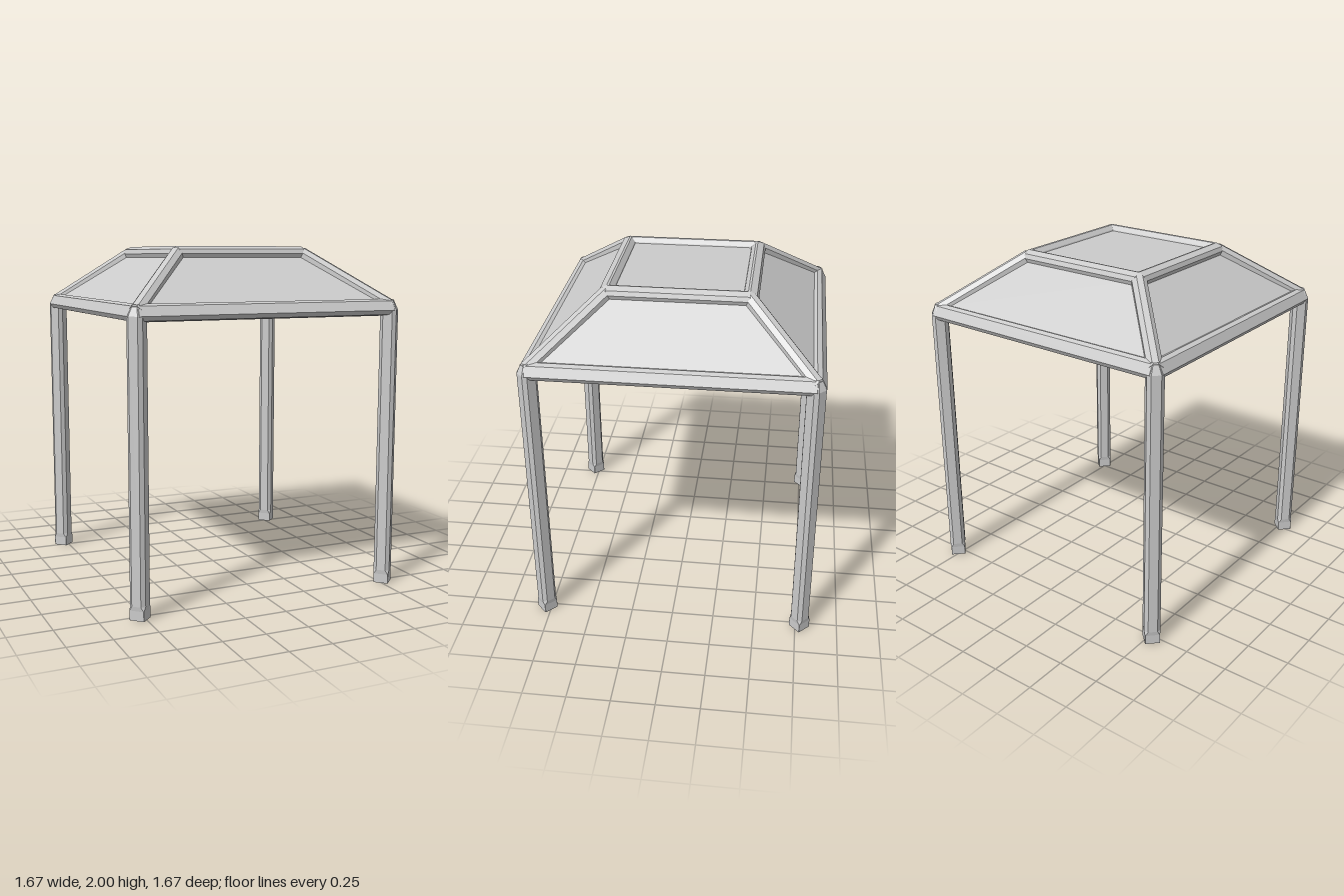
import * as THREE from 'three';

const grey = new THREE.MeshStandardMaterial({ color: 0xcccccc, flatShading: true });
const thin = new THREE.MeshStandardMaterial({ color: 0xcccccc, flatShading: true, side: THREE.DoubleSide });

// Eight corners of a square of half-width r whose straight sides have half-length s
function octagon(r, s) {
  return [[r, -s], [r, s], [s, r], [-s, r], [-r, s], [-r, -s], [-s, -r], [s, -r]];
}

// Skin between stacked octagons given as [r, y, s]; closed joins last to first
function loft(levels, closed = false) {
  const pos = [], idx = [];
  for (const [r, y, s] of levels) for (const [x, z] of octagon(r, s)) pos.push(x, y, z);
  const n = levels.length;
  for (let i = 0; i < (closed ? n : n - 1); i++) {
    for (let j = 0; j < 8; j++) {
      const k = (j + 1) % 8, up = ((i + 1) % n) * 8;
      const a = i * 8 + j, b = up + j, c = up + k, d = i * 8 + k;
      idx.push(a, b, c, a, c, d);
    }
  }
  const g = new THREE.BufferGeometry();
  g.setAttribute('position', new THREE.Float32BufferAttribute(pos, 3));
  g.setIndex(idx);
  g.computeVertexNormals();
  return g;
}

// Square frame swept from an [r, y] profile, corners chamfered outside the centre line
function squareFrame(profile, centre) {
  return loft(profile.map(([r, y]) => [r, y, r - Math.max(0.002, r - centre)]), true);
}

function add(parent, name, geometry, material = grey) {
  const mesh = new THREE.Mesh(geometry, material);
  mesh.name = name;
  parent.add(mesh);
  return mesh;
}

export function createModel() {
  const model = new THREE.Group();
  model.name = 'pavilion';

  // Eaves and crown frames
  add(model, 'eavesFrame', squareFrame([
    [0.83, 1.635], [0.803, 1.688], [0.775, 1.698], [0.74, 1.685],
    [0.722, 1.645], [0.735, 1.612], [0.775, 1.602], [0.815, 1.61],
  ], 0.778));
  add(model, 'crownFrame', squareFrame([
    [0.442, 1.957], [0.432, 1.983], [0.395, 2.0], [0.383, 1.998],
    [0.36, 1.975], [0.35, 1.95], [0.365, 1.92], [0.4, 1.91], [0.43, 1.925],
  ], 0.395));

  // Sloping roof panels and flat top panel
  const slope = new THREE.CylinderGeometry(0.4 * Math.SQRT2, 0.775 * Math.SQRT2, 0.285, 4, 1, true);
  slope.rotateY(Math.PI / 4).translate(0, 1.8175, 0);
  add(model, 'slopedPanels', slope, thin);
  add(model, 'topPanel', new THREE.BoxGeometry(0.74, 0.012, 0.74)).position.y = 1.962;

  // Legs with square feet, and the hip beams above them
  const legGeometry = loft([
    [0, 0, 0], [0.06, 0, 0.001], [0.06, 0.055, 0.001], [0.052, 0.08, 0.014],
    [0.052, 1.635, 0.014], [0.024, 1.695, 0.007], [0, 1.695, 0],
  ]);
  const up = new THREE.Vector3(0, 1, 0);
  for (const [x, z, side] of [[1, 1, 'frontLeft'], [-1, 1, 'frontRight'], [1, -1, 'backLeft'], [-1, -1, 'backRight']]) {
    add(model, side + 'Leg', legGeometry).position.set(0.775 * x, 0, 0.775 * z);

    const low = new THREE.Vector3(0.78 * x, 1.65, 0.78 * z);
    const high = new THREE.Vector3(0.395 * x, 1.955, 0.395 * z);
    const dir = high.clone().sub(low);
    const hipGeometry = new THREE.CylinderGeometry(0.045, 0.045, dir.length(), 8);
    hipGeometry.rotateY(Math.PI / 8);
    const hip = add(model, side + 'HipBeam', hipGeometry);
    hip.position.copy(low).add(high).multiplyScalar(0.5);
    hip.quaternion.setFromUnitVectors(up, dir.normalize());
  }
  return model;
}
